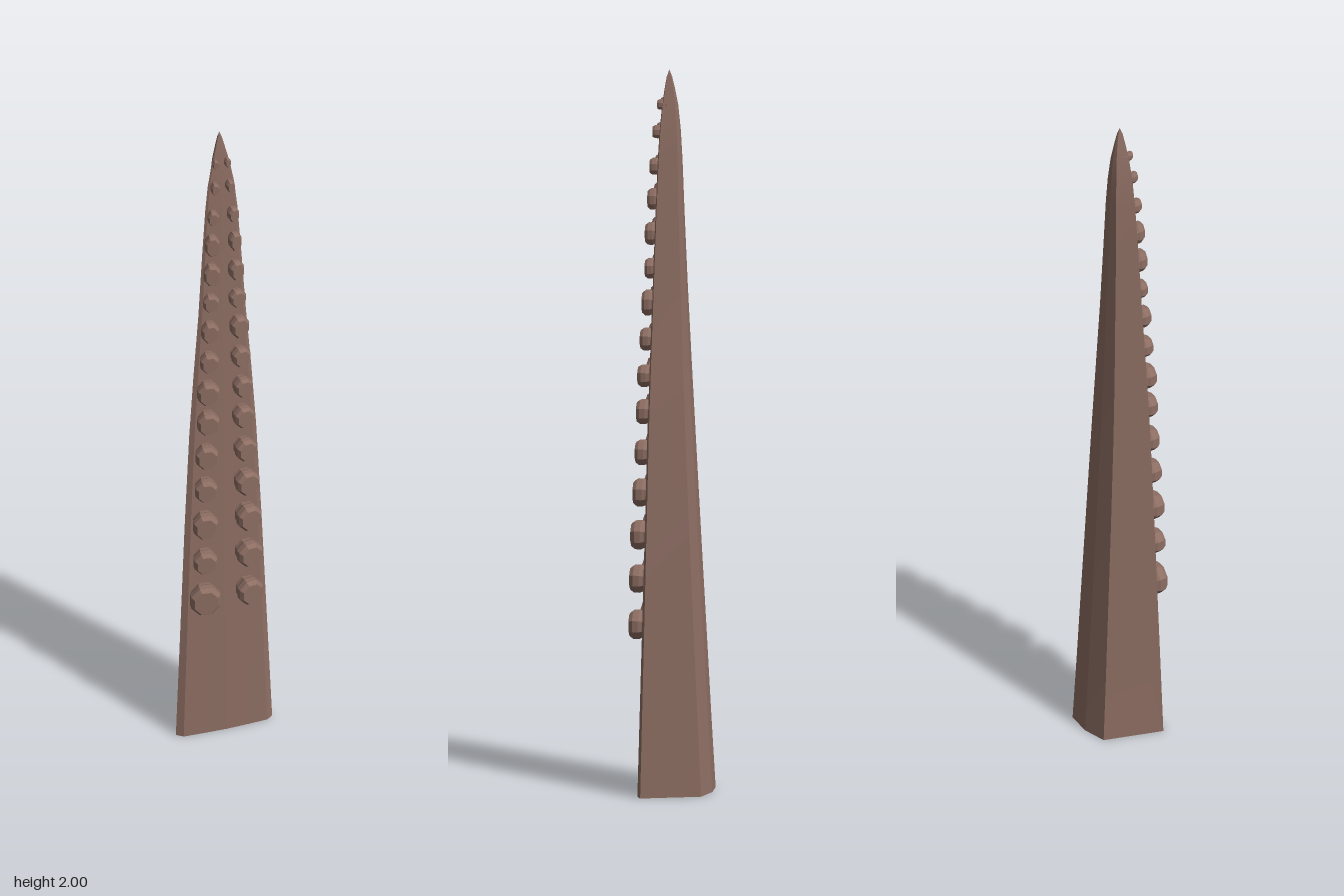
import * as THREE from 'three';

// Taper of the arm: [height, half width, back z, front z]
const RINGS = [
  [0, 0.138, -0.11, 0.07], [0.2, 0.13, -0.098, 0.066], [0.4, 0.122, -0.087, 0.062],
  [0.7, 0.11, -0.07, 0.056], [1, 0.096, -0.054, 0.051], [1.2, 0.083, -0.044, 0.047],
  [1.4, 0.068, -0.035, 0.043], [1.6, 0.056, -0.027, 0.038], [1.75, 0.046, -0.022, 0.034],
  [1.83, 0.038, -0.018, 0.031], [1.9, 0.026, -0.012, 0.027], [1.95, 0.014, -0.003, 0.022],
  [1.98, 0.007, 0.004, 0.018], [2, 0, 0.012, 0.012],
];

// Half cross-section from back to front: [share of half width, share of depth]
const HALF = [[0, 0], [0.48, 0.06], [1, 0.9], [0.87, 0.975], [0.45, 0.99], [0, 1]];

// Rows of suckers: [height, x offset, x radius, y radius, front z, left scale, right scale]
const ROWS = [
  [0.467, 0.06, 0.039, 0.043, 0.107, 0.95, 1.12],
  [0.594, 0.059, 0.036, 0.038, 0.105, 1.03, 0.95],
  [0.716, 0.058, 0.036, 0.041, 0.102, 1, 1],
  [0.833, 0.055, 0.034, 0.038, 0.097, 1.03, 0.95],
  [0.944, 0.052, 0.032, 0.037, 0.092, 0.97, 1.02],
  [1.056, 0.047, 0.031, 0.036, 0.09, 0.97, 1.03],
  [1.156, 0.046, 0.03, 0.035, 0.087, 0.9, 1.07],
  [1.257, 0.042, 0.027, 0.032, 0.081, 1, 1],
  [1.358, 0.039, 0.026, 0.035, 0.077, 1.04, 0.97],
  [1.453, 0.035, 0.024, 0.029, 0.07, 1, 0.97],
  [1.549, 0.032, 0.023, 0.034, 0.07, 0.95, 1.05],
  [1.645, 0.03, 0.02, 0.033, 0.064, 0.92, 1.07],
  [1.735, 0.026, 0.016, 0.024, 0.059, 1, 1],
  [1.83, 0.019, 0.012, 0.019, 0.053, 1, 1],
  [1.905, 0.015, 0.009, 0.015, 0.041, 1, 1],
];

// Front surface depth at a given height
function frontAt(y) {
  const i = Math.max(1, RINGS.findIndex((r) => r[0] >= y));
  const a = RINGS[i - 1], b = RINGS[i];
  return THREE.MathUtils.lerp(a[3], b[3], (y - a[0]) / (b[0] - a[0]));
}

// Open-ended shell lofted through the rings, faceted around and smooth along its length
function armGeometry() {
  const mirrored = HALF.slice(1, -1).reverse().map(([x, t]) => [-x, t]);
  const loop = [...HALF, ...mirrored];
  const pos = [], index = [];
  loop.forEach((p, j) => {
    const q = loop[(j + 1) % loop.length];
    const start = pos.length / 3;
    RINGS.forEach(([y, w, back, front], i) => {
      for (const [x, t] of [p, q]) pos.push(x * w, y, back + (front - back) * t);
      if (i === 0) return;
      const a = start + (i - 1) * 2;
      index.push(a, a + 2, a + 1, a + 1, a + 2, a + 3);
    });
  });
  const geo = new THREE.BufferGeometry();
  geo.setAttribute('position', new THREE.Float32BufferAttribute(pos, 3));
  geo.setIndex(index);
  geo.computeVertexNormals();
  return geo;
}

// Eight-sided sucker of unit radius and depth, facing +z, with a bevelled rim
function suckerGeometry() {
  const profile = [[0.85, 0], [0.9, 0.35], [1, 0.5], [1, 0.8], [0.8, 1], [0, 1]];
  const geo = new THREE.LatheGeometry(profile.map(([r, h]) => new THREE.Vector2(r, h)), 8, Math.PI / 8);
  geo.rotateX(Math.PI / 2);
  const flat = geo.toNonIndexed();
  flat.computeVertexNormals();
  return flat;
}

export function createModel() {
  const model = new THREE.Group();
  model.name = 'tentacle';
  const skin = new THREE.MeshStandardMaterial({ color: 0x8d6e63 });
  skin.name = 'brown skin';
  skin.side = THREE.DoubleSide;

  const arm = new THREE.Mesh(armGeometry(), skin);
  arm.name = 'arm';
  model.add(arm);

  // Two columns of suckers, shrinking toward the tip
  const suckers = new THREE.Group();
  suckers.name = 'suckers';
  const geo = suckerGeometry();
  for (const [y, x, rx, ry, front, left, right] of ROWS) {
    for (const side of [1, -1]) {
      const scale = side > 0 ? left : right;
      const base = frontAt(y) - 0.012;
      const sucker = new THREE.Mesh(geo, skin);
      sucker.name = side > 0 ? 'leftSucker' : 'rightSucker';
      sucker.position.set(side * x, y, base);
      sucker.rotation.y = side * 0.12;
      sucker.scale.set(rx * scale, ry * scale, front - base - rx * 0.1);
      suckers.add(sucker);
    }
  }
  model.add(suckers);
  return model;
}
